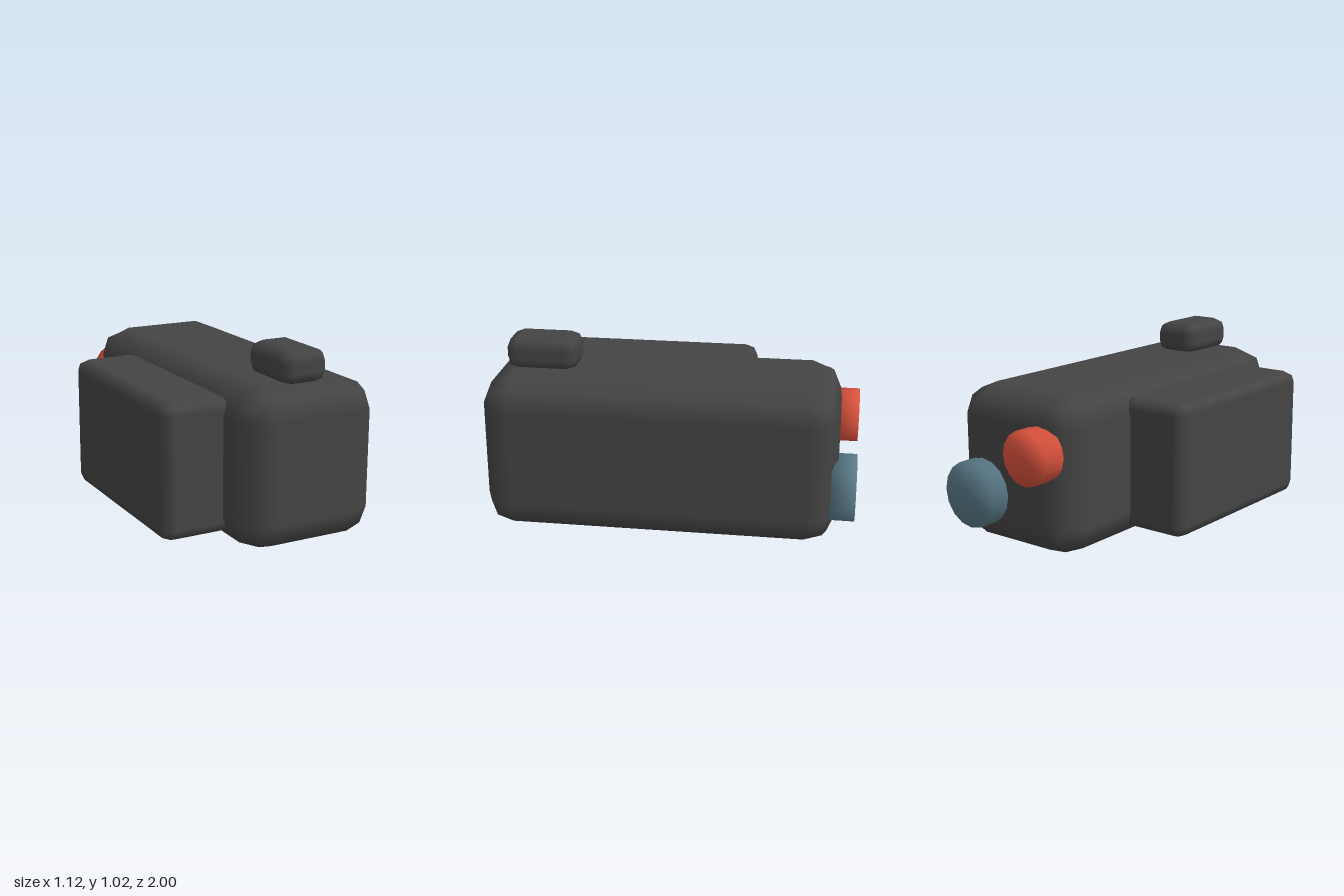
import * as THREE from 'three';
import { mergeVertices } from 'three/addons/utils/BufferGeometryUtils.js';
import { RoundedBoxGeometry } from 'three/addons/geometries/RoundedBoxGeometry.js';

function material(name, color) {
  const m = new THREE.MeshStandardMaterial({ color });
  m.name = name;
  return m;
}

export function createModel() {
  const group = new THREE.Group();
  group.name = 'device';
  const charcoal = material('charcoal', 0x444444);
  const red = material('red', 0xdb533d);
  const blue = material('slate blue', 0x5a7a89);

  function add(name, geometry, mat, x, y, z) {
    const mesh = new THREE.Mesh(geometry, mat);
    mesh.name = name;
    mesh.position.set(x, y, z);
    group.add(mesh);
  }

  // Box with two-step rounded edges, given by its extents
  function roundedBox(name, [x0, x1], [y0, y1], [z0, z1], radius) {
    const geometry = new RoundedBoxGeometry(x1 - x0, y1 - y0, z1 - z0, 1, radius);
    add(name, geometry, charcoal, (x0 + x1) / 2, (y0 + y1) / 2, (z0 + z1) / 2);
  }

  // Short round button on the back, with normals blended over the rim
  function button(name, mat, x, y, radius) {
    const depth = 0.13;
    let geometry = new THREE.CylinderGeometry(radius, radius, depth, 16);
    geometry.rotateX(-Math.PI / 2);
    geometry.deleteAttribute('uv');
    geometry.deleteAttribute('normal');
    geometry = mergeVertices(geometry, 1e-4);
    geometry.computeVertexNormals();
    add(name, geometry, mat, x, y, -1 + depth / 2);
  }

  // Main body, side pack and top block
  roundedBox('body', [-0.23, 0.556], [0, 0.855], [-0.903, 1], 0.165);
  roundedBox('sidePack', [-0.56, -0.167], [0.066, 0.788], [-0.4, 0.75], 0.065);
  roundedBox('topBlock', [0.031, 0.293], [0.838, 1.018], [0.51, 0.9], 0.065);

  // Rear buttons
  button('redButton', red, -0.035, 0.56, 0.146);
  button('blueButton', blue, 0.357, 0.298, 0.179);

  return group;
}
